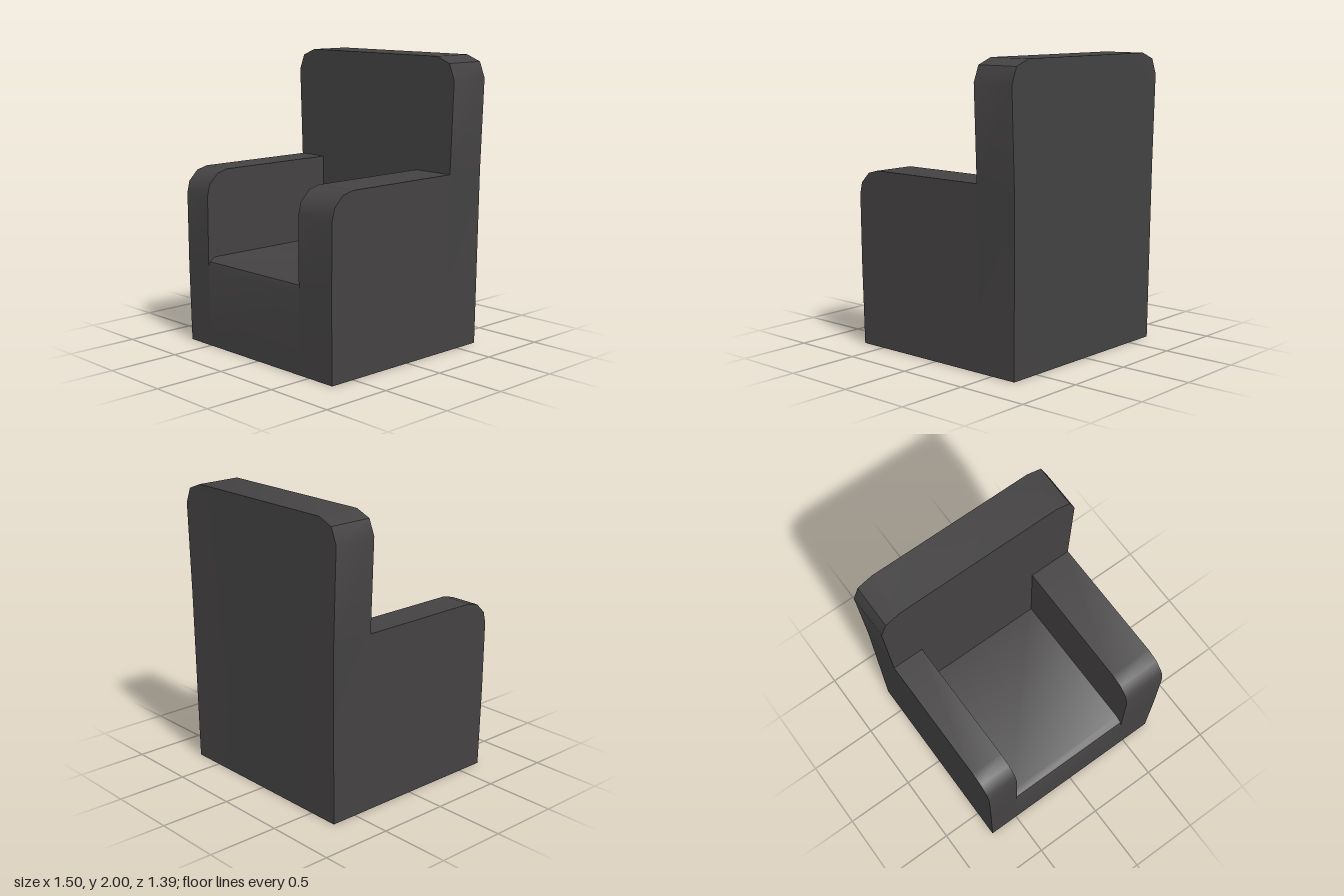
import * as THREE from 'three';
import { toCreasedNormals } from 'three/addons/utils/BufferGeometryUtils.js';

const material = new THREE.MeshStandardMaterial({ color: 0x444242 });
const ARM_TOP = 1.222, BACK_FRONT = -0.385;

function extrude(points, depth) {
  const shape = new THREE.Shape(points.map(([x, y]) => new THREE.Vector2(x, y)));
  return new THREE.ExtrudeGeometry(shape, { depth, bevelEnabled: false });
}

// Side profile (z, y) swept across the chair from x0 to x1
function sweepAcross(points, x0, x1) {
  return extrude(points, x1 - x0).rotateY(-Math.PI / 2).translate(x1, 0, 0);
}

function moveVertices(geometry, rule) {
  const pos = geometry.attributes.position;
  const v = new THREE.Vector3();
  for (let i = 0; i < pos.count; i++) {
    rule(v.fromBufferAttribute(pos, i));
    pos.setXYZ(i, v.x, v.y, v.z);
  }
  return geometry;
}

function part(name, geometry) {
  const mesh = new THREE.Mesh(toCreasedNormals(geometry, 0.7), material);
  mesh.name = name;
  return mesh;
}

export function createModel() {
  const chair = new THREE.Group();
  chair.name = 'armchair';

  // Backrest: full-height slab, widening upwards, with clipped top corners
  const half = [[0.715, 0], [0.727, ARM_TOP], [0.75, 1.85], [0.707, 1.957], [0.595, 2]];
  const outline = [...half, ...half.map(([x, y]) => [-x, y]).reverse()];
  const back = extrude(outline, 0.31).translate(0, 0, -0.695);
  moveVertices(back, (v) => {
    if (v.z < -0.6 && v.y < 0.01) v.z = -0.685;
  });
  chair.add(part('backrest', back));

  // Seat block with a softened front edge
  const front = [[BACK_FRONT, 0], [0.685, 0], [0.695, 0.55]];
  const seat = [...front, [0.685, 0.595], [0.64, 0.622], [BACK_FRONT, 0.622]];
  chair.add(part('seat', sweepAcross(seat, -0.5, 0.42)));

  // Arms: rounded at the front, outer sides leaning in towards the floor
  const arm = [...front, [0.695, 1.05], [0.675, 1.13], [0.605, 1.2], [0.52, ARM_TOP], [BACK_FRONT, ARM_TOP]];
  for (const [name, x0, x1] of [['rightArm', -0.727, -0.5], ['leftArm', 0.42, 0.727]]) {
    const geometry = moveVertices(sweepAcross(arm, x0, x1), (v) => {
      if (Math.abs(v.x) > 0.6) v.x = Math.sign(v.x) * (0.715 + 0.012 * v.y / ARM_TOP);
    });
    chair.add(part(name, geometry));
  }
  return chair;
}
